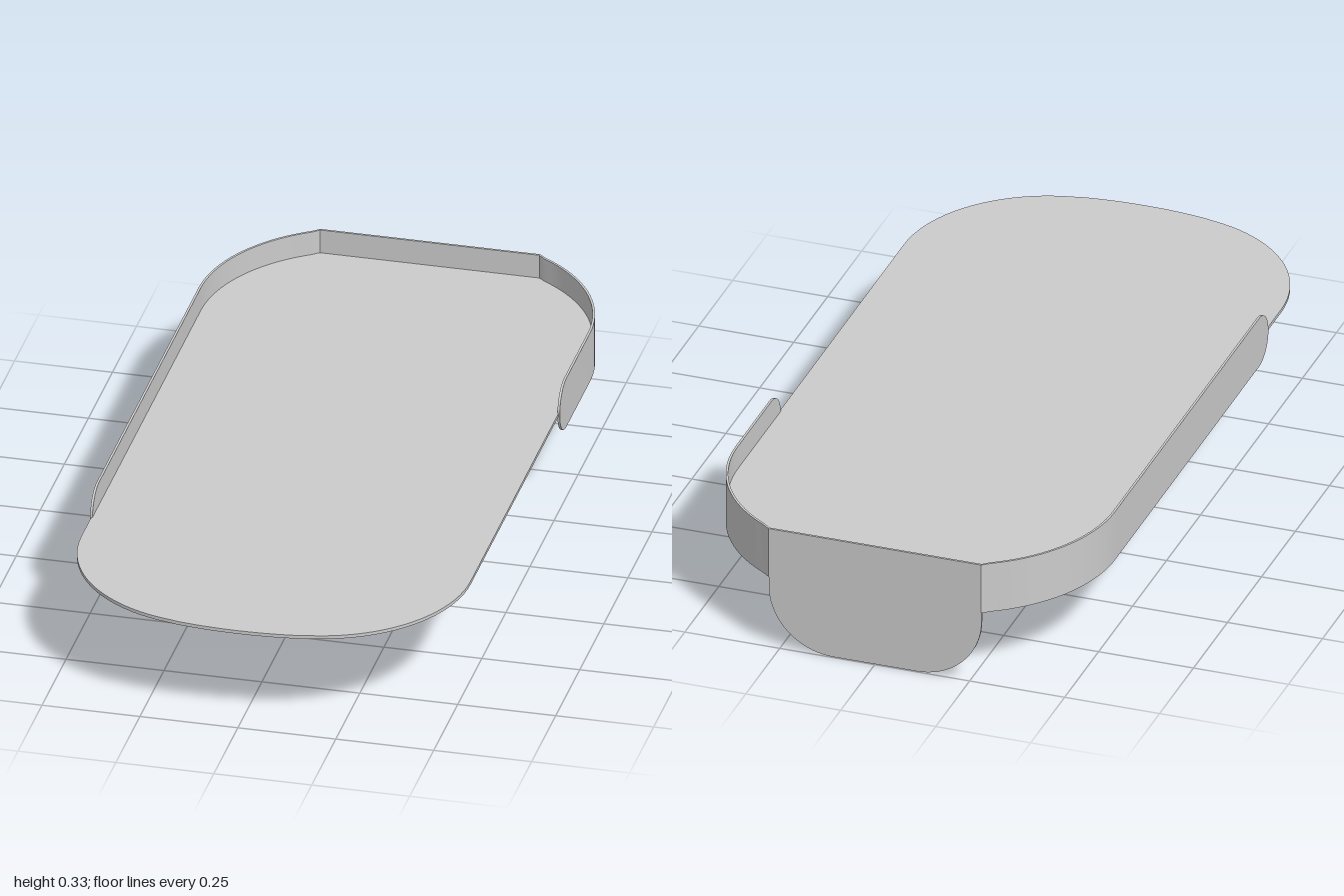
import * as THREE from 'three';
import { toCreasedNormals } from 'three/addons/utils/BufferGeometryUtils.js';

const material = new THREE.MeshStandardMaterial({ color: 0xcccccc });
const HALF_WIDTH = 0.5, BACK_Z = -1, FLAT_HALF = 0.28;
const RIM_MID = 0.265, RIM_HALF = 0.068, RIM_THICK = 0.006;

function addMesh(group, name, geometry) {
  const mesh = new THREE.Mesh(toCreasedNormals(geometry, 0.4), material);
  mesh.name = name;
  group.add(mesh);
}

// Points (x, z) along an arc about a centre, angles in radians
function arc(cx, cz, r, a0, a1, steps) {
  return Array.from({ length: steps + 1 }, (_, i) => {
    const a = a0 + ((a1 - a0) * i) / steps;
    return new THREE.Vector2(cx + r * Math.cos(a), cz + r * Math.sin(a));
  });
}

const mirror = (points) => points.map((p) => new THREE.Vector2(-p.x, p.y)).reverse();

// Rounded back corner on +x, from the flat back edge round to the side
const END_ANGLE = Math.acos(0.2 / 0.42);
const backCorner = (inset) => arc(0.08, -0.626, 0.42 - inset, -END_ANGLE, 0, 20);

// Thin deck: rounded corners, slightly bowed front edge, flat back edge
function deckGeometry() {
  const lean = (80 * Math.PI) / 180;
  const frontHalf = [
    ...arc(0.117, 0.603, 0.38, 0, lean, 20),
    ...arc(0, -0.072, 1.067, lean, Math.PI / 2, 6).slice(1),
  ];
  const back = backCorner(0.003);
  const outline = [...back, ...frontHalf, ...mirror(frontHalf).slice(1), ...mirror(back)];
  return new THREE.ExtrudeGeometry(new THREE.Shape(outline), { depth: 0.009, bevelEnabled: false })
    .rotateX(Math.PI / 2)
    .translate(0, 0.27, 0);
}

// Upright band round the back, with round ends; one side reaches further forward
function rimGeometry() {
  const stations = [];
  const capSteps = 10;
  const cap = (x, endZ) =>
    Array.from({ length: capSteps + 1 }, (_, i) => {
      const a = (i / capSteps) * (Math.PI / 2);
      const z = endZ - RIM_HALF * (1 - Math.cos(a));
      return { p: new THREE.Vector2(x, z), h: RIM_HALF * Math.sin(a) };
    });
  const full = (p) => ({ p, h: RIM_HALF });
  const corner = backCorner(0);
  corner[0].set(FLAT_HALF, BACK_Z);
  stations.push(
    ...cap(-HALF_WIDTH, 0.5),
    ...mirror(corner).map(full),
    ...corner.map(full),
    ...cap(HALF_WIDTH, -0.31).reverse(),
  );

  const positions = [], index = [];
  stations.forEach(({ p, h }, i) => {
    const before = stations[Math.max(i - 1, 0)].p;
    const after = stations[Math.min(i + 1, stations.length - 1)].p;
    const t = after.clone().sub(before).normalize();
    const ix = p.x - t.y * RIM_THICK, iz = p.y + t.x * RIM_THICK;
    positions.push(
      p.x, RIM_MID - h, p.y,
      p.x, RIM_MID + h, p.y,
      ix, RIM_MID + h, iz,
      ix, RIM_MID - h, iz,
    );
    if (i === stations.length - 1) return;
    for (let k = 0; k < 4; k++) {
      const a = i * 4 + k, b = i * 4 + ((k + 1) % 4);
      index.push(a, b, b + 4, a, b + 4, a + 4);
    }
  });
  const geometry = new THREE.BufferGeometry();
  geometry.setAttribute('position', new THREE.Float32BufferAttribute(positions, 3));
  geometry.setIndex(index);
  return geometry;
}

// Flap hanging below the back edge, lower corners rounded
function flapGeometry() {
  const r = 0.17, top = 0.257;
  const corner = arc(FLAT_HALF - r, r, r, -Math.PI / 2, 0, 20);
  const side = [...corner, new THREE.Vector2(FLAT_HALF, top)];
  const shape = new THREE.Shape([...side, ...mirror(side)]);
  return new THREE.ExtrudeGeometry(shape, { depth: 0.006, bevelEnabled: false })
    .translate(0, 0, -0.997);
}

export function createModel() {
  const group = new THREE.Group();
  group.name = 'rimmedTray';
  addMesh(group, 'deck', deckGeometry());
  addMesh(group, 'rim', rimGeometry());
  addMesh(group, 'backFlap', flapGeometry());
  return group;
}
